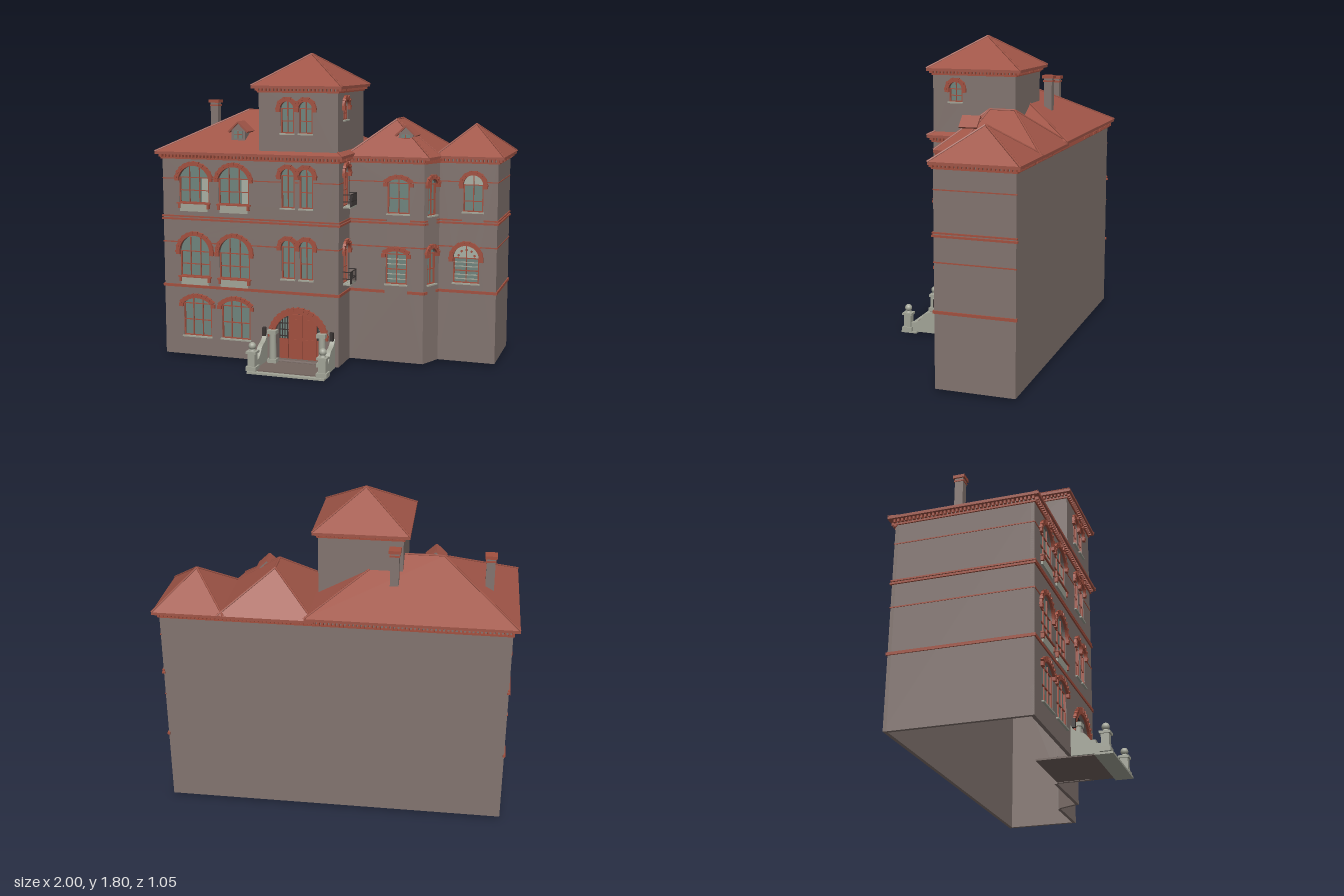
import * as THREE from 'three';
import { mergeGeometries } from 'three/addons/utils/BufferGeometryUtils.js';
import { ConvexGeometry } from 'three/addons/geometries/ConvexGeometry.js';

const mat = (name, color, side = THREE.FrontSide) => {
  const m = new THREE.MeshStandardMaterial({ color, side });
  m.name = name;
  return m;
};

export function createModel() {
  const M = {
    wall: mat('wallPlaster', 0x82746f, THREE.DoubleSide),
    roof: mat('roofTile', 0xa05547),
    brick: mat('brickRed', 0xa2503f),
    glass: mat('windowGlass', 0x6f847d, THREE.DoubleSide),
    stone: mat('paleStone', 0xa3a598),
    pale: mat('paleBlind', 0xa9b0a4),
    dark: mat('darkIron', 0x3a3433),
    paving: mat('paving', 0x74655f),
  };
  const house = new THREE.Group();
  house.name = 'house';

  const add = (parent, name, geo, m, x = 0, y = 0, z = 0) => {
    const mesh = new THREE.Mesh(geo, m);
    mesh.name = name;
    mesh.position.set(x, y, z);
    parent.add(mesh);
    return mesh;
  };
  const box = (parent, name, m, w, h, d, x, y, z) =>
    add(parent, name, new THREE.BoxGeometry(w, h, d), m, x, y, z);
  const group = (parent, name) => {
    const g = new THREE.Group();
    g.name = name;
    parent.add(g);
    return g;
  };

  // Circle that passes through the springing points and crown of an opening
  const arcOf = o => {
    const R = (o.w * o.w / 4 + o.rise * o.rise) / (2 * o.rise);
    return { R, cy: o.spring + o.rise - R, a: Math.asin(Math.min(1, o.w / 2 / R)) };
  };
  const outline = (o, Type = THREE.Shape) => {
    const { R, cy, a } = arcOf(o), s = new Type();
    s.moveTo(o.u - o.w / 2, o.y0);
    s.lineTo(o.u + o.w / 2, o.y0);
    s.lineTo(o.u + o.w / 2, o.spring);
    s.absarc(o.u, cy, R, Math.PI / 2 - a, Math.PI / 2 + a, false);
    s.closePath();
    return s;
  };

  // Brick arch: curved band, raised voussoirs and a stop block at each end
  function archTrim(g, o, t = 0.024) {
    const { R, cy, a } = arcOf(o), s = new THREE.Shape();
    s.absarc(o.u, cy, R + t, Math.PI / 2 - a, Math.PI / 2 + a, false);
    s.absarc(o.u, cy, R, Math.PI / 2 + a, Math.PI / 2 - a, true);
    add(g, 'archBand', new THREE.ExtrudeGeometry(s, { depth: 0.014, bevelEnabled: false, curveSegments: 16 }), M.brick);
    const n = Math.max(5, Math.round(2 * a * R / 0.026)), bricks = [];
    for (let i = 0; i <= n; i++) {
      const b = -a + 2 * a * i / n;
      bricks.push(new THREE.BoxGeometry(0.012, t * 0.7, 0.02).translate(0, R + t * 0.75, 0.008)
        .rotateZ(-b).translate(o.u, cy, 0));
    }
    add(g, 'voussoirs', mergeGeometries(bricks), M.brick);
    for (const k of [-1, 1])
      box(g, 'archStop', M.brick, t, 0.022, 0.018, o.u + k * (o.w / 2 + t / 2), o.spring - 0.008, 0.007);
  }

  // Glass, glazing bars and optional sill, blind, shutter, tympanum or balcony
  function windowUnit(wall, o) {
    const g = group(wall, 'window');
    const top = o.spring + o.rise, h = o.spring - o.y0, L = o.u - o.w / 2;
    add(g, 'glass', new THREE.ShapeGeometry(outline(o), 16), M.glass, 0, 0, -0.014);
    const f = 0.007, z = -0.009;
    for (const k of [-1, 1]) box(g, 'jamb', M.brick, f, h, 0.012, o.u + k * (o.w - f) / 2, o.y0 + h / 2, z);
    box(g, 'bottomRail', M.brick, o.w, f, 0.012, o.u, o.y0 + f / 2, z);
    const n = o.cols ?? 2;
    for (let i = 1; i < n; i++) {
      const t = 2 * i / n - 1, e = top - o.rise * t * t - o.y0;
      box(g, 'mullion', M.brick, 0.005, e, 0.008, L + o.w * i / n, o.y0 + e / 2, z);
    }
    for (const t of o.rails ?? [0.5, 1]) box(g, 'transom', M.brick, o.w, 0.005, 0.008, o.u, o.y0 + h * t, z);
    if (o.blind) box(g, 'blind', M.pale, o.w * 0.24, h * 0.95, 0.004, o.u + o.w * 0.36, o.y0 + h / 2, -0.012);
    if (o.shutter)
      for (let i = 1; i < 6; i++) box(g, 'slat', M.stone, o.w, 0.005, 0.008, o.u, o.y0 + h * i / 6, z);
    if (o.fanlight) {
      const { R, cy, a } = arcOf(o), s = new THREE.Shape();
      s.absarc(o.u, cy, R, Math.PI / 2 - a, Math.PI / 2 + a, false);
      add(g, 'fanlight', new THREE.ShapeGeometry(s, 16), M.pale, 0, 0, -0.012);
      if (o.fanlight === 2)
        for (let i = 0; i < 5; i++) {
          const b = Math.PI * (i + 0.5) / 5;
          add(g, 'rosette', new THREE.CylinderGeometry(0.007, 0.007, 0.006, 8).rotateX(Math.PI / 2), M.brick,
            o.u + Math.cos(b) * R * 0.65, cy + Math.sin(b) * R * 0.65, -0.01);
        }
    }
    if (o.panel) {
      box(g, 'sillPanel', M.stone, o.w * 0.92, 0.046, 0.014, o.u, o.y0 - 0.025, 0.003);
      box(g, 'sill', M.brick, o.w + 0.02, 0.007, 0.024, o.u, o.y0, 0.008);
      for (const k of [-1, 1]) box(g, 'sillBracket', M.brick, 0.014, 0.03, 0.02, o.u + k * o.w * 0.48, o.y0 - 0.015, 0.007);
    } else box(g, 'sill', M.stone, o.w + 0.012, 0.008, 0.018, o.u, o.y0 - 0.003, 0.004);
    if (o.balcony) {
      const w = o.w + 0.025, d = 0.045;
      box(g, 'balconyFloor', M.stone, w, 0.008, d, o.u, o.y0 - 0.004, d / 2);
      for (const y of [0.03, 0.07]) {
        box(g, 'balconyRail', M.dark, w, 0.005, 0.005, o.u, o.y0 + y, d);
        for (const k of [-1, 1]) box(g, 'balconySideRail', M.dark, 0.005, 0.005, d, o.u + k * w / 2, o.y0 + y, d / 2);
      }
      for (let i = 0; i <= 6; i++) box(g, 'baluster', M.dark, 0.004, 0.07, 0.004, o.u + w * (i / 6 - 0.5), o.y0 + 0.035, d);
    }
    archTrim(g, o, o.trim);
  }

  // One wall from a to b, seen from outside left to right, with openings, bands and cornice
  const BANDS = [[0.43, 0.016, 0.007], [0.692, 0.007, 0.003], [0.83, 0.011, 0.009], [0.846, 0.009, 0.007], [1.068, 0.006, 0.003]];
  function wall(name, a, b, y0, y1, openings = [], bands = BANDS) {
    const g = group(house, name), dx = b[0] - a[0], dz = b[1] - a[1], len = Math.hypot(dx, dz);
    g.position.set(a[0], 0, a[1]);
    g.rotation.y = Math.atan2(-dz, dx);
    const s = new THREE.Shape([[0, y0], [len, y0], [len, y1], [0, y1]].map(p => new THREE.Vector2(...p)));
    for (const o of openings) s.holes.push(outline(o, THREE.Path));
    add(g, 'plaster', new THREE.ExtrudeGeometry(s, { depth: 0.02, bevelEnabled: false, curveSegments: 16 }), M.wall, 0, 0, -0.02);
    for (const o of openings) if (!o.door) windowUnit(g, o);
    for (const [y, h, d] of bands) {
      // Bands stop at each opening they would cross
      let from = -d;
      const cuts = openings.filter(o => y > o.y0 - 0.05 && y < o.spring + o.rise + 0.01)
        .sort((p, q) => p.u - q.u).map(o => [o.u - o.w / 2 - 0.005, o.u + o.w / 2 + 0.005]);
      for (const [l, r] of [...cuts, [len + d, 0]]) {
        if (l > from) box(g, 'band', M.brick, l - from, h, 2 * d, (from + l) / 2, y, 0);
        from = r;
      }
    }
    box(g, 'corniceBand', M.brick, len + 0.016, 0.01, 0.016, len / 2, y1 - 0.022, 0);
    const teeth = [], n = Math.round(len / 0.022);
    for (let i = 0; i <= n; i++) teeth.push(new THREE.BoxGeometry(0.011, 0.018, 0.022).translate(len * i / n, y1 - 0.008, 0.011));
    add(g, 'dentils', mergeGeometries(teeth), M.brick);
    return g;
  }

  // Openings of the long front, listed by x
  const front = [];
  for (const [x, x1] of [[-0.76, -0.75], [-0.51, -0.505]]) {
    for (const y of [0.925, 0.488])
      front.push({ u: x, w: 0.19, y0: y, spring: y + 0.15, rise: y > 0.9 ? 0.07 : 0.095, panel: true, cols: 3, rails: [0.5, 1], blind: y > 0.9 });
    front.push({ u: x1, w: 0.18, y0: 0.13, spring: 0.325, rise: 0.036, cols: 3 });
  }
  for (const x of [-0.178, -0.068]) for (const y of [0.92, 0.51])
    front.push({ u: x, w: 0.08, y0: y, spring: y + 0.185, rise: 0.04 });
  const door = { u: -0.118, w: 0.29, y0: 0.025, spring: 0.185, rise: 0.125, door: true };
  front.push(door);
  front.forEach(o => { o.u += 0.96; });

  const B = 0.015, T = 1.2;
  const frontWall = wall('frontWall', [-0.96, 0.29], [0.125, 0.29], B, T + 0.01, front);
  wall('towerSideWall', [0.125, 0.29], [0.125, 0.08], B, T + 0.01,
    [0.93, 0.485].map(y => ({ u: 0.135, w: 0.09, y0: y, spring: y + 0.185, rise: 0.045, balcony: true })));
  wall('middleWall', [0.125, 0.08], [0.565, 0.08], B, T, [
    { u: 0.29, w: 0.13, y0: 0.885, spring: 1.06, rise: 0.025 },
    { u: 0.28, w: 0.125, y0: 0.475, spring: 0.65, rise: 0.02, shutter: true }]);
  wall('angledWall', [0.565, 0.08], [0.625, -0.05], B, T,
    [0.875, 0.475].map(y => ({ u: 0.072, w: 0.075, y0: y, spring: y + 0.18, rise: 0.03 })));
  wall('endWall', [0.625, -0.05], [0.96, -0.05], B, T, [
    { u: 0.195, w: 0.115, y0: 0.895, spring: 1.05, rise: 0.0574, rails: [0.4, 1], fanlight: 1 },
    { u: 0.16, w: 0.15, y0: 0.48, spring: 0.625, rise: 0.0749, shutter: true, fanlight: 2 }]);
  wall('rightWall', [0.96, -0.05], [0.96, -0.49], B, T);
  wall('backWall', [0.96, -0.49], [-0.96, -0.49], B, T, [], []);
  wall('leftWall', [-0.96, -0.49], [-0.96, 0.29], B, T + 0.01);

  // Tower storey above the main eaves
  wall('towerFront', [-0.35, 0.29], [0.12, 0.29], 1.2, 1.6,
    [-0.178, -0.068].map(x => ({ u: x + 0.35, w: 0.08, y0: 1.345, spring: 1.485, rise: 0.0399 })), []);
  wall('towerRight', [0.12, 0.29], [0.12, -0.21], 1.2, 1.6, [{ u: 0.14, w: 0.08, y0: 1.42, spring: 1.495, rise: 0.0399 }], []);
  wall('towerBack', [0.12, -0.21], [-0.35, -0.21], 1.2, 1.6, [], []);
  wall('towerLeft', [-0.35, -0.21], [-0.35, 0.29], 1.2, 1.6, [], []);

  // Hipped roofs: eave corners, ridge points and caps from each corner to its ridge end
  function hipRoof(name, y, eaves, ridge) {
    const g = group(house, name), V = (x, h, z) => new THREE.Vector3(x, h, z);
    const low = eaves.map(([x, z]) => V(x, y, z)), peaks = ridge.map(p => V(...p));
    add(g, 'tiles', new ConvexGeometry([...low, ...eaves.map(([x, z]) => V(x, y - 0.016, z)), ...peaks]), M.roof);
    const cap = (p, q) => add(g, 'ridgeCap', new THREE.TubeGeometry(new THREE.LineCurve3(p, q), 1, 0.006, 6), M.roof);
    for (const p of low) cap(p, peaks.reduce((m, q) => (q.distanceTo(p) < m.distanceTo(p) ? q : m)));
    if (peaks.length > 1) cap(peaks[0], peaks[1]);
  }
  const rect = (x0, x1, z0, z1) => [[x0, z0], [x1, z0], [x1, z1], [x0, z1]];
  hipRoof('mainRoof', 1.226, rect(-0.995, 0.155, -0.525, 0.322), [[-0.57, 1.455, -0.1], [-0.27, 1.455, -0.1]]);
  hipRoof('middleRoof', 1.212, [[0.1, 0.097], [0.6, 0.097], [0.635, -0.04], [0.635, -0.52], [0.1, -0.52]],
    [[0.348, 1.412, -0.135], [0.348, 1.412, -0.28]]);
  hipRoof('endRoof', 1.213, rect(0.595, 0.995, -0.52, -0.032), [[0.793, 1.385, -0.27]]);
  hipRoof('towerRoof', 1.612, rect(-0.387, 0.15, -0.247, 0.322), [[-0.118, 1.79, 0.038]]);

  // Chimneys
  for (const [x, z, y0, y1] of [[-0.825, -0.18, 1.25, 1.505], [-0.31, -0.28, 1.3, 1.55]]) {
    const g = group(house, 'chimney');
    box(g, 'stack', M.wall, 0.048, y1 - y0, 0.048, x, (y0 + y1) / 2, z);
    box(g, 'chimneyCollar', M.brick, 0.056, 0.01, 0.056, x, y1 - 0.03, z);
    box(g, 'chimneyCap', M.brick, 0.066, 0.018, 0.066, x, y1 - 0.005, z);
  }

  // Gabled dormers
  for (const [x, y, z] of [[-0.515, 1.285, 0.2], [0.43, 1.268, -0.018]]) {
    const g = group(house, 'dormer');
    g.position.set(x, y, z);
    const s = new THREE.Shape([[-0.042, 0], [0.042, 0], [0.042, 0.065], [0, 0.105], [-0.042, 0.065]].map(p => new THREE.Vector2(...p)));
    add(g, 'dormerBody', new THREE.ExtrudeGeometry(s, { depth: 0.09, bevelEnabled: false }), M.wall, 0, 0, -0.09);
    box(g, 'dormerGlass', M.glass, 0.05, 0.045, 0.004, 0, 0.04, 0.001);
    box(g, 'dormerMullion', M.brick, 0.005, 0.045, 0.008, 0, 0.04, 0.001);
    box(g, 'dormerTransom', M.brick, 0.05, 0.005, 0.008, 0, 0.042, 0.001);
    for (const k of [-1, 1]) {
      const r = box(g, 'dormerRoof', M.roof, 0.084, 0.01, 0.105, k * 0.03, 0.084, -0.042);
      r.rotation.z = -k * 0.76;
    }
  }

  // Entrance: brick arch, recess, double door and lattice side lights
  archTrim(frontWall, door, 0.036);
  const e = group(house, 'entrance');
  e.position.set(-0.118, 0, 0.29);
  for (const k of [-1, 1]) {
    box(e, 'recessSide', M.wall, 0.01, 0.32, 0.08, k * 0.152, 0.175, -0.05);
    box(e, 'doorLeaf', M.brick, 0.084, 0.265, 0.012, k * 0.0435, 0.152, -0.075);
    box(e, 'doorPanel', M.brick, 0.05, 0.1, 0.006, k * 0.043, 0.09, -0.068);
    box(e, 'doorPanel', M.brick, 0.05, 0.08, 0.006, k * 0.043, 0.22, -0.068);
    box(e, 'sidePanel', M.brick, 0.055, 0.12, 0.01, k * 0.117, 0.08, -0.075);
    box(e, 'sideLight', M.glass, 0.055, 0.15, 0.006, k * 0.117, 0.215, -0.077);
    for (let i = 0; i < 4; i++) {
      box(e, 'latticeBar', M.dark, 0.006, 0.15, 0.006, k * (0.093 + i * 0.016), 0.215, -0.072);
      box(e, 'latticeBar', M.dark, 0.055, 0.006, 0.006, k * 0.117, 0.155 + i * 0.038, -0.072);
    }
    // Stone columns, lamps, curved stair walls and pedestals
    add(e, 'column', new THREE.CylinderGeometry(0.019, 0.022, 0.17, 12), M.stone, k * 0.15, 0.11, 0.022);
    for (const y of [0.03, 0.2]) box(e, 'columnBlock', M.stone, 0.054, 0.022, 0.05, k * 0.15, y, 0.022);
    box(e, 'wallLamp', M.dark, 0.02, 0.05, 0.02, k * 0.205, 0.195, 0.014);
    const s = new THREE.Shape();
    s.moveTo(0, 0);
    s.lineTo(0.165, 0);
    s.lineTo(0.165, 0.055);
    s.bezierCurveTo(0.09, 0.05, 0.11, 0.115, 0.05, 0.125);
    s.quadraticCurveTo(0.015, 0.135, 0, 0.17);
    const side = add(e, 'stairWall', new THREE.ExtrudeGeometry(s, { depth: 0.028, bevelEnabled: false }), M.stone, k * 0.207 + 0.014, 0.01, 0);
    side.rotation.y = -Math.PI / 2;
    box(e, 'pedestalBase', M.stone, 0.062, 0.025, 0.062, k * 0.21, 0.025, 0.187);
    box(e, 'pedestal', M.stone, 0.044, 0.085, 0.044, k * 0.21, 0.07, 0.187);
    box(e, 'pedestalCap', M.stone, 0.06, 0.014, 0.06, k * 0.21, 0.118, 0.187);
    add(e, 'pedestalNeck', new THREE.CylinderGeometry(0.012, 0.02, 0.02, 12), M.stone, k * 0.21, 0.132, 0.187);
    add(e, 'ballFinial', new THREE.SphereGeometry(0.022, 14, 10), M.stone, k * 0.21, 0.153, 0.187);
  }
  box(e, 'recessBack', M.dark, 0.31, 0.31, 0.01, 0, 0.17, -0.087);
  box(e, 'recessCeiling', M.dark, 0.31, 0.01, 0.08, 0, 0.33, -0.05);
  box(e, 'recessFloor', M.paving, 0.4, 0.01, 0.2, 0, 0.015, -0.1);
  box(e, 'landing', M.paving, 0.42, 0.012, 0.2, 0, 0.012, 0.1);
  box(e, 'bottomStep', M.stone, 0.46, 0.012, 0.1, 0, 0.006, 0.178);
  return house;
}
